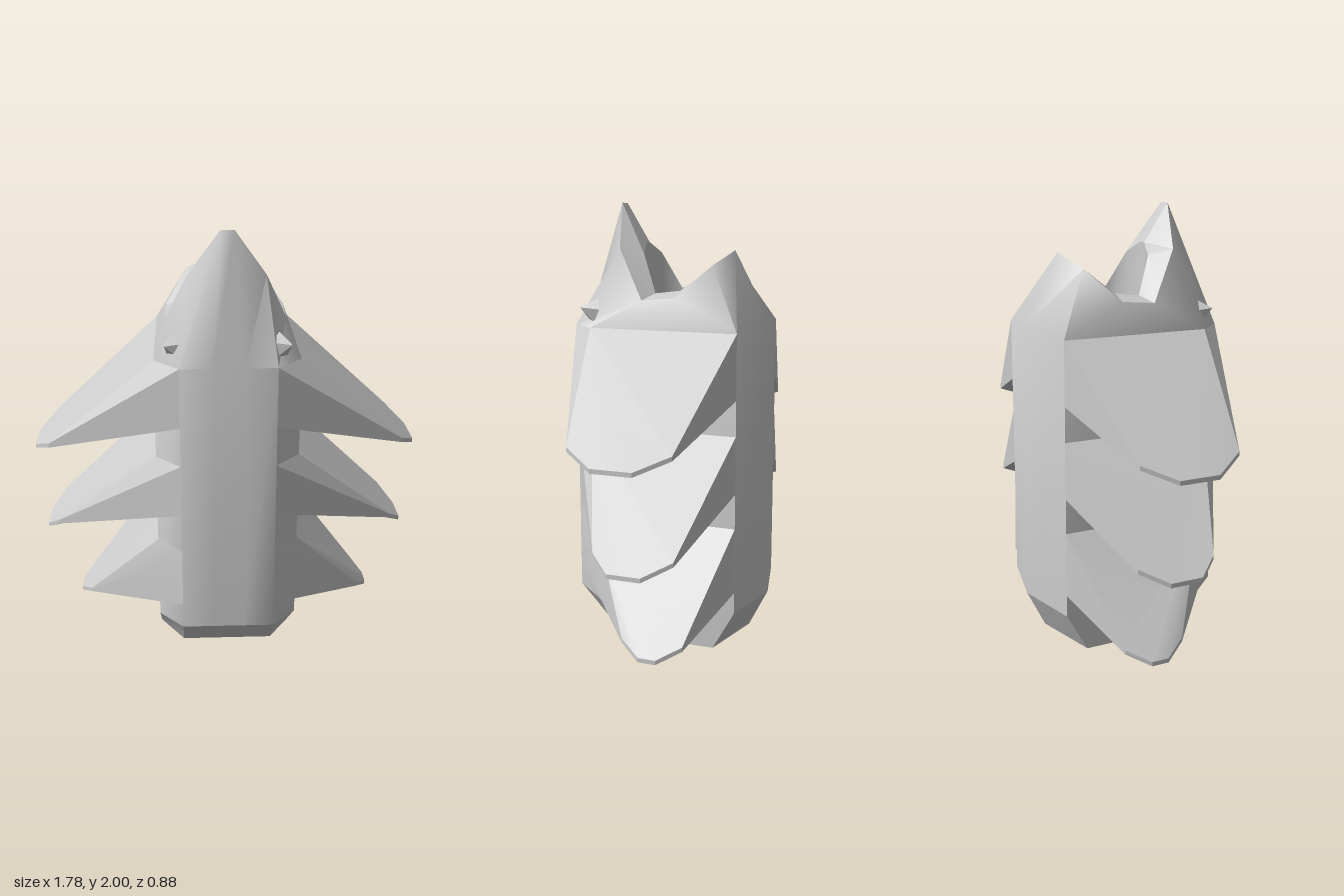
import * as THREE from 'three';
import { toCreasedNormals } from 'three/addons/utils/BufferGeometryUtils.js';

const material = new THREE.MeshStandardMaterial({ color: 0xcccccc });

// Joins rings of [x, y, z] points, listed counter-clockwise from above, bottom ring first
function loft(rings, { capBottom = false, capTop = false, crease = 0.9 } = {}) {
  const pos = [];
  const same = (a, b) => a.every((v, i) => Math.abs(v - b[i]) < 1e-6);
  const tri = (a, b, c) => {
    if (!same(a, b) && !same(b, c) && !same(a, c)) pos.push(...a, ...b, ...c);
  };
  for (let i = 0; i < rings.length - 1; i++) {
    const lo = rings[i], hi = rings[i + 1], n = lo.length;
    for (let j = 0; j < n; j++) {
      const k = (j + 1) % n;
      tri(lo[j], lo[k], hi[k]);
      tri(lo[j], hi[k], hi[j]);
    }
  }
  const first = rings[0], last = rings[rings.length - 1];
  for (let j = 1; j < first.length - 1; j++) {
    if (capBottom) tri(first[0], first[j + 1], first[j]);
    if (capTop) tri(last[0], last[j], last[j + 1]);
  }
  const geo = new THREE.BufferGeometry();
  geo.setAttribute('position', new THREE.Float32BufferAttribute(pos, 3));
  geo.computeVertexNormals();
  return toCreasedNormals(geo, crease);
}

// Completes a half ring that runs front to back and ends on the centre line
const mirrorRing = (half) => [
  ...half,
  ...half.slice(0, -1).reverse().map(([x, y, z]) => [-x, y, z]),
];

const SECTION = [[0.07, 0.44], [0.21, 0.44], [0.32, 0.32], [0.32, -0.37], [0.32, -0.37], [0, -0.44]];
const SOLE = [[0.07, 0.27], [0.21, 0.27], [0.32, 0.1], [0.32, -0.27], [0.32, -0.27], [0, -0.35]];
const RIM = [[0.03, 2, 0.28], [0.17, 1.8, 0.235], [0.27, 1.575, 0.09],
  [0.27, 1.59, -0.07], [0.17, 1.73, -0.21], [0, 1.79, -0.26]];
const INNER = [[0.02, 1.82, 0.165], [0.11, 1.77, 0.14], [0.175, 1.6, 0.06],
  [0.175, 1.615, -0.06], [0.11, 1.7, -0.155], [0, 1.74, -0.19]];

const atHeight = (section, y) => mirrorRing(section.map(([x, z]) => [x, y, z]));

// Fins: root top and bottom heights, then tip points [x, y, z] front to back
const FINS = [
  { top: 1.45, bottom: 1.18, tip: [[0.81, 1.02, 0.205], [0.89, 0.96, 0.065], [0.89, 0.96, -0.12], [0.81, 1.02, -0.26]] },
  { top: 1.0, bottom: 0.76, tip: [[0.8, 0.575, 0.1], [0.865, 0.515, 0.01], [0.865, 0.515, -0.14], [0.8, 0.575, -0.26]] },
  { top: 0.58, bottom: 0.3, tip: [[0.67, 0.15, 0.03], [0.73, 0.1, -0.07], [0.73, 0.1, -0.15], [0.67, 0.15, -0.25]] },
];

function finGeometry({ top, bottom, tip }, side) {
  const ring = (y, drop) => {
    const pts = [[0.32, y, 0.32], [0.21, y, 0.44],
      ...tip.map(([x, ty, z]) => [x, ty - drop, z]), [0.32, y - drop, -0.37]];
    if (side > 0) return pts;
    const [start, ...rest] = pts.map(([x, py, z]) => [-x, py, z]);
    return [start, ...rest.reverse()];
  };
  return loft([ring(bottom, 0.02), ring(top, 0)], { capBottom: true, capTop: true, crease: 0.3 });
}

export function createModel() {
  const model = new THREE.Group();
  const add = (name, geometry) => {
    const mesh = new THREE.Mesh(geometry, material);
    mesh.name = name;
    model.add(mesh);
    return mesh;
  };

  // Trunk, chamfered foot and hollow peaked top
  const rim = mirrorRing(RIM), inner = mirrorRing(INNER);
  const floor = inner.map(([x, , z]) => [x * 0.97, 1.46, z * 0.95]);
  add('foot', loft([atHeight(SOLE, 0), atHeight(SECTION, 0.18)], { capBottom: true, crease: 0.3 }));
  add('body', loft([atHeight(SECTION, 0.18), atHeight(SECTION, 1.45), rim]));
  add('rim', loft([rim, inner], { crease: 0.4 }));
  add('hollow', loft([inner, floor], { capTop: true }));

  for (const side of [1, -1]) {
    const label = side > 0 ? 'left' : 'right';
    // Drooping side fins
    FINS.forEach((fin, i) => add(`${label}Fin${i + 1}`, finGeometry(fin, side)));

    // Small faceted eye set on the front corner
    const eye = add(`${label}Eye`, toCreasedNormals(new THREE.ConeGeometry(0.06, 0.07, 5), 0.9));
    const out = new THREE.Vector3(0.65 * side, 0.25, 0.7).normalize();
    eye.quaternion.setFromUnitVectors(new THREE.Vector3(0, 1, 0), out);
    eye.position.set(0.248 * side, 1.525, 0.365);
  }
  return model;
}
